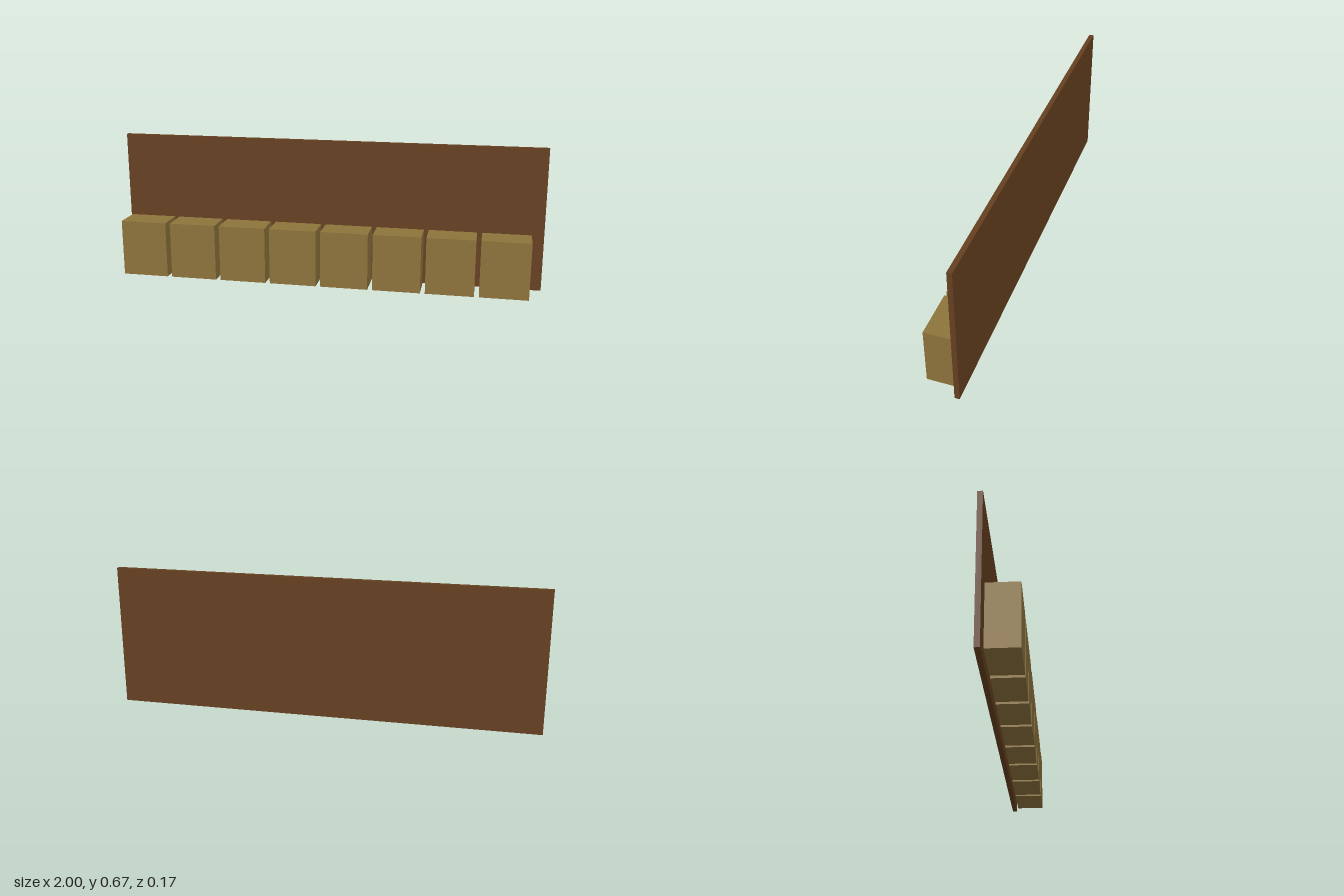
import * as THREE from 'three';

export function createModel() {
  const group = new THREE.Group();
  const darkWood = new THREE.MeshStandardMaterial({ color: 0x664020 });
  darkWood.name = 'dark wood';
  const tan = new THREE.MeshStandardMaterial({ color: 0x8e743c });
  tan.name = 'tan';

  // Box given by its minimum and maximum corners
  const addBox = (name, material, [x0, y0, z0], [x1, y1, z1]) => {
    const mesh = new THREE.Mesh(new THREE.BoxGeometry(x1 - x0, y1 - y0, z1 - z0), material);
    mesh.position.set((x0 + x1) / 2, (y0 + y1) / 2, (z0 + z1) / 2);
    mesh.name = name;
    group.add(mesh);
  };

  // Upright back panel
  addBox('backPanel', darkWood, [-1, 0, -0.0833], [1, 0.667, -0.0611]);

  // Row of eight blocks standing in front of the panel
  const count = 8, width = 0.222, pitch = 0.2444, start = -0.989;
  for (let i = 0; i < count; i++) {
    const x = start + i * pitch;
    addBox(`block${i + 1}`, tan, [x, 0, -0.05], [x + width, 0.267, 0.0833]);
  }

  return group;
}
